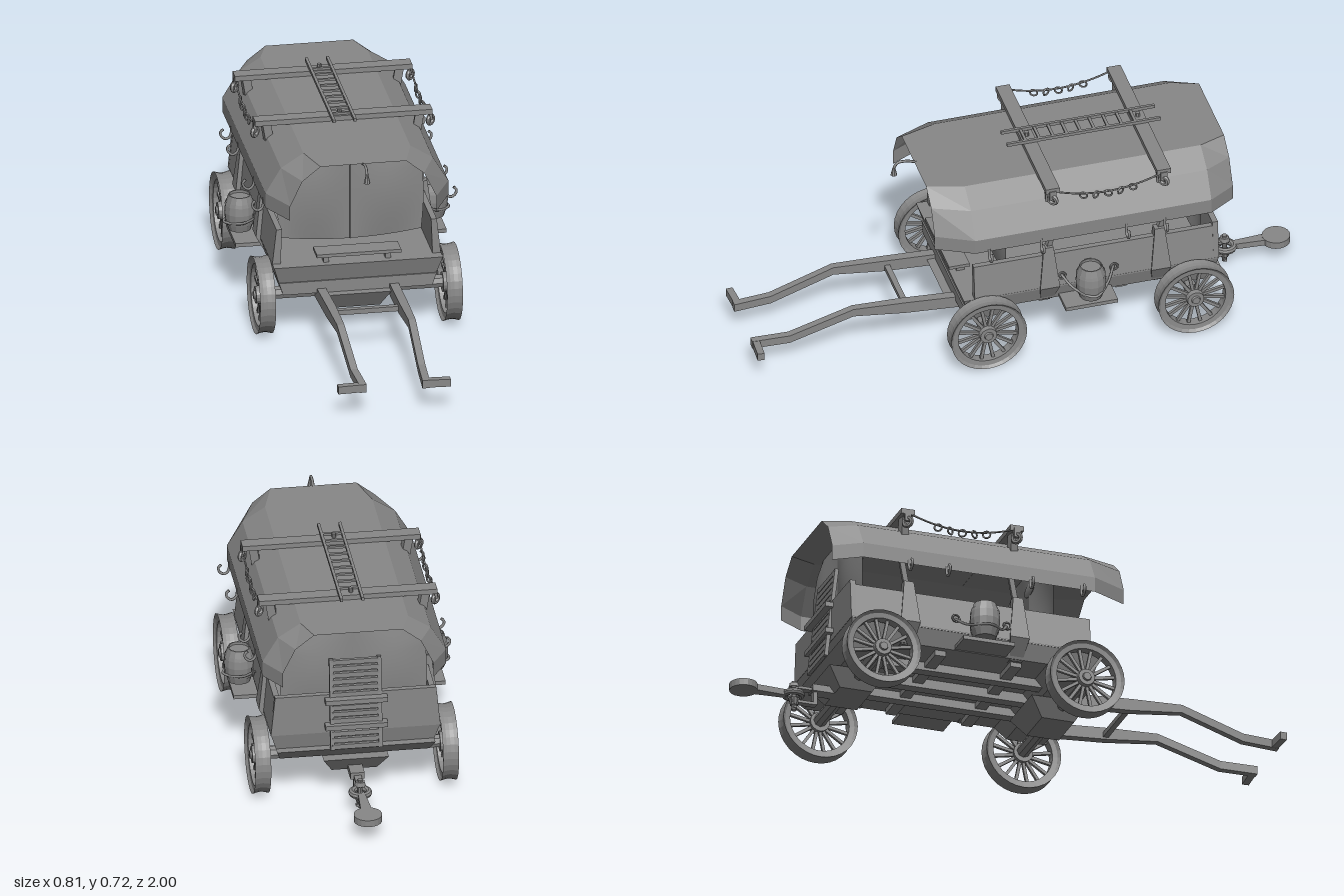
import * as THREE from 'three';

const flat = new THREE.MeshStandardMaterial({ color: 0x888888, flatShading: true, side: THREE.DoubleSide });
const smooth = new THREE.MeshStandardMaterial({ color: 0x888888, side: THREE.DoubleSide });
const V = (x, y, z) => new THREE.Vector3(x, y, z);

export function createModel() {
  const root = new THREE.Group();

  const add = (name, geo, x = 0, y = 0, z = 0, parent = root, mat = flat) => {
    const m = new THREE.Mesh(geo, mat);
    m.name = name;
    m.position.set(x, y, z);
    parent.add(m);
    return m;
  };
  const group = (name, x = 0, y = 0, z = 0) => {
    const g = new THREE.Group();
    g.name = name;
    g.position.set(x, y, z);
    root.add(g);
    return g;
  };
  // Box given by its ranges on each axis
  const block = (name, x0, x1, y0, y1, z0, z1, parent) =>
    add(name, new THREE.BoxGeometry(x1 - x0, y1 - y0, z1 - z0), (x0 + x1) / 2, (y0 + y1) / 2, (z0 + z1) / 2, parent);
  // Straight bar between two points
  const bar = (name, a, b, w, h, parent) => {
    const m = add(name, new THREE.BoxGeometry(w, h, a.distanceTo(b)), 0, 0, 0, parent);
    m.position.copy(a).add(b).multiplyScalar(0.5);
    m.quaternion.setFromUnitVectors(V(0, 0, 1), b.clone().sub(a).normalize());
    return m;
  };
  // Skin over equal-length cross-sections
  const loft = (sections, closed = true) => {
    const n = sections[0].length, pos = [], idx = [];
    sections.forEach(s => s.forEach(p => pos.push(p.x, p.y, p.z)));
    for (let i = 0; i < sections.length - 1; i++)
      for (let j = 0; j < (closed ? n : n - 1); j++) {
        const a = i * n + j, b = i * n + (j + 1) % n;
        idx.push(a, b, b + n, a, b + n, a + n);
      }
    if (closed) {
      const e = (sections.length - 1) * n;
      for (let j = 1; j < n - 1; j++) idx.push(0, j + 1, j, e, e + j, e + j + 1);
    }
    const g = new THREE.BufferGeometry();
    g.setAttribute('position', new THREE.Float32BufferAttribute(pos, 3));
    g.setIndex(idx);
    g.computeVertexNormals();
    return g;
  };
  const rectY = (hx, y, z0, z1) => [V(-hx, y, z1), V(hx, y, z1), V(hx, y, z0), V(-hx, y, z0)];

  // Body: flared hull with lower blocks and keels above each axle
  add('hull', loft([rectY(0.28, 0.2, -0.64, 0.255), rectY(0.3, 0.265, -0.655, 0.275)]));
  for (const [n, z] of [['front', 0.19], ['rear', -0.56]]) {
    add(n + 'UnderBlock', loft([rectY(0.265, 0.155, z - 0.07, z + 0.07), rectY(0.28, 0.2, z - 0.11, z + 0.07)]));
    add(n + 'Keel', loft([rectY(0.08, 0.09, z - 0.06, z + 0.06), rectY(0.115, 0.155, z - 0.11, z + 0.1)]));
    const axle = add(n + 'Axle', new THREE.CylinderGeometry(0.024, 0.024, 0.64, 8), 0, 0.142, n === 'front' ? 0.2 : -0.555);
    axle.rotation.z = Math.PI / 2;
  }
  for (const s of [-1, 1]) {
    block('chassisBeam', s * 0.13 - 0.02, s * 0.13 + 0.02, 0.17, 0.2, -0.6, 0.24);
    add('sideWall', loft([0.235, -0.65].map(z =>
      [V(s * 0.3, 0.26, z), V(s * 0.285, 0.395, z), V(s * 0.265, 0.395, z), V(s * 0.27, 0.26, z)])));
  }
  block('centreBeam', -0.02, 0.02, 0.165, 0.2, -0.5, 0.15);
  for (const z of [-0.03, -0.31]) block('crossBeam', -0.26, 0.26, 0.18, 0.205, z - 0.02, z + 0.02);
  add('backWall', loft([-0.635, -0.655].map(z =>
    [V(-0.3, 0.26, z), V(0.3, 0.26, z), V(0.285, 0.41, z), V(-0.285, 0.41, z)])));
  block('seat', -0.15, 0.15, 0.298, 0.31, 0.21, 0.285);
  for (const x of [-0.11, 0.11]) block('seatLeg', x - 0.01, x + 0.01, 0.26, 0.3, 0.22, 0.25);

  // Canopy: faceted arch narrowing at both ends
  const arch = [[-0.325, 0.485], [-0.325, 0.54], [-0.27, 0.632], [-0.19, 0.683], [0.19, 0.683], [0.27, 0.632], [0.325, 0.54], [0.325, 0.485]];
  const ends = [[0.37, 0.8], [0.24, 1], [-0.62, 1], [-0.715, 0.82]];
  add('canopy', loft(ends.map(([z, k]) => arch.map(([x, y]) => V(x * k, y, z))), false));

  // Cloth curtains: two bulging halves meeting at a slit, cut to the arch
  const clothWidth = y => y < 0.56 ? 0.252 + 0.008 * Math.sin((y - 0.29) * 11)
    : y < 0.64 ? 0.256 - (y - 0.56) * 0.5 : 0.216 - (y - 0.64) * 1.6;
  for (const [n, z0, dir] of [['frontCurtain', 0.11, 1], ['backCurtain', -0.6, -1]])
    for (const s of [-1, 1]) {
      const geo = new THREE.PlaneGeometry(1, 1, 10, 20), p = geo.attributes.position;
      for (let i = 0; i < p.count; i++) {
        const u = p.getX(i) + 0.5, v = p.getY(i) + 0.5, y = 0.29 + v * 0.392;
        p.setXYZ(i, s * u * clothWidth(y), y + 0.02 * u * u * (1 - v), z0 + dir * 0.02 * Math.sin(u * Math.PI) * Math.sin(v * Math.PI));
      }
      geo.computeVertexNormals();
      add(n, geo, 0, 0, 0, root, smooth);
    }
  const slit = add('curtainSlit', new THREE.CylinderGeometry(0.003, 0.003, 0.3, 6), 0, 0.44, 0.112);
  slit.scale.z = 0.6;
  const patch = add('curtainPatch', new THREE.SphereGeometry(1, 20, 8), 0, 0.615, 0.112, root, smooth);
  patch.scale.set(0.05, 0.025, 0.006);

  // Roof bars, struts, side brackets, pulley rings
  for (const z of [-0.045, -0.45]) {
    block('roofBar', -0.315, 0.315, 0.682, 0.701, z - 0.025, z + 0.025);
    for (const s of [-1, 1]) {
      bar('roofStrut', V(s * 0.275, 0.69, z), V(s * 0.26, 0.6, z), 0.03, 0.028);
      bar('canopyStrut', V(s * 0.262, 0.3, z + 0.035), V(s * 0.29, 0.56, z - 0.025), 0.018, 0.018);
      const rib = [[0.24, 0.2], [0.275, 0.195], [0.316, 0.27], [0.296, 0.432], [0.268, 0.432], [0.245, 0.27]];
      add('sideBracket', loft([-1, 1].map(e => rib.map(([x, y], i) =>
        V(s * x, y, z + 0.01 + e * [0.022, 0.022, 0.036, 0.018, 0.018, 0.03][i])))));
      const ring = add('pulleyRing', new THREE.TorusGeometry(0.015, 0.008, 6, 14), s * 0.312, 0.652, z);
      ring.rotation.y = 0.8;
      block('pulleyStrap', s * 0.312 - 0.006, s * 0.312 + 0.006, 0.655, 0.69, z - 0.012, z + 0.012);
    }
  }
  // Cords sagging between the bars, strung with a few rings
  for (const s of [-1, 1]) {
    const cord = new THREE.QuadraticBezierCurve3(V(s * 0.312, 0.683, -0.06), V(s * 0.312, 0.613, -0.248), V(s * 0.312, 0.683, -0.435));
    add('cord', new THREE.TubeGeometry(cord, 20, 0.0035, 5), 0, 0, 0, root, smooth);
    for (let i = 0; i < 5; i++) {
      const p = cord.getPoint(0.26 + i * 0.12);
      const ring = add('cordRing', new THREE.TorusGeometry(0.013, 0.0035, 5, 12), p.x, p.y - 0.008, p.z);
      ring.rotation.y = Math.PI / 2 + (i % 2 ? 0.5 : -0.4);
    }
  }
  // Roof ladder
  for (const x of [-0.045, 0.03]) block('roofLadderRail', x - 0.005, x + 0.005, 0.701, 0.713, -0.52, 0.04);
  for (let i = 0; i < 9; i++) block('roofLadderRung', -0.045, 0.03, 0.703, 0.711, -0.435 + i * 0.05, -0.425 + i * 0.05);
  for (const z of [-0.045, -0.45]) add('ladderKnob', new THREE.CylinderGeometry(0.008, 0.008, 0.02, 8), -0.012, 0.707, z);

  // Hooks under the canopy edge
  for (const s of [-1, 1])
    for (const z of [0.19, 0, -0.31, -0.45]) {
      const path = new THREE.CatmullRomCurve3([[0.322, 0.5], [0.328, 0.465], [0.343, 0.455], [0.36, 0.467], [0.362, 0.483], [0.352, 0.492]].map(([x, y]) => V(s * x, y, z)));
      add('canopyHook', new THREE.TubeGeometry(path, 14, 0.005, 6), 0, 0, 0, root, smooth);
    }

  // Lantern on a curved arm
  const arm = new THREE.CatmullRomCurve3([V(0, 0.675, 0.35), V(0, 0.69, 0.4), V(0, 0.688, 0.43), V(0, 0.67, 0.443)]);
  add('lanternArm', new THREE.TubeGeometry(arm, 14, 0.005, 6), 0, 0, 0, root, smooth);
  add('lantern', new THREE.CylinderGeometry(0.005, 0.012, 0.03, 8), 0, 0.655, 0.443);

  // Wheels
  const rim = [[0.11, -0.018], [0.128, -0.02], [0.138, -0.028], [0.134, -0.014], [0.132, 0], [0.134, 0.014], [0.138, 0.028], [0.128, 0.02], [0.11, 0.018], [0.11, -0.018]].map(([r, h]) => new THREE.Vector2(r, h));
  for (const s of [-1, 1])
    for (const z of [0.2, -0.555]) {
      const w = group('wheel', s * 0.332, 0.138, z);
      w.rotation.z = -s * Math.PI / 2;
      add('rim', new THREE.LatheGeometry(rim, 32), 0, 0, 0, w);
      add('hub', new THREE.CylinderGeometry(0.03, 0.036, 0.045, 16), 0, 0, 0, w);
      add('hubCap', new THREE.CylinderGeometry(0.014, 0.018, 0.01, 12), 0, 0.024, 0, w);
      for (let i = 0; i < 16; i++) {
        const a = (i + 0.5) * Math.PI / 8;
        bar('spoke', V(Math.cos(a) * 0.025, 0, Math.sin(a) * 0.025), V(Math.cos(a) * 0.113, 0, Math.sin(a) * 0.113), 0.011, 0.011, w);
      }
    }

  // Barrels on side platforms, tied with rope
  const stave = [[0, -0.065], [0.04, -0.065], [0.051, -0.03], [0.054, 0], [0.051, 0.03], [0.04, 0.065], [0.036, 0.065], [0.036, 0.055], [0, 0.055]].map(([r, y]) => new THREE.Vector2(r, y));
  for (const s of [-1, 1]) {
    const b = group('barrel', s * 0.343, 0.297, -0.175);
    add('barrelBody', new THREE.LatheGeometry(stave, 14), 0, 0, 0, b);
    for (const y of [-0.035, 0.035]) add('hoop', new THREE.CylinderGeometry(y > 0 ? 0.05 : 0.053, y > 0 ? 0.053 : 0.05, 0.012, 14, 1, true), 0, y, 0, b);
    const rope = [V(s * 0.3, 0.31, -0.08), V(s * 0.345, 0.275, -0.113), V(s * 0.4, 0.263, -0.175), V(s * 0.345, 0.275, -0.237), V(s * 0.3, 0.31, -0.27)];
    add('rope', new THREE.TubeGeometry(new THREE.CatmullRomCurve3(rope), 24, 0.005, 6), 0, 0, 0, root, smooth);
    for (const z of [-0.08, -0.27]) {
      const r = add('ropeRing', new THREE.TorusGeometry(0.013, 0.004, 6, 12), s * 0.308, 0.31, z);
      r.rotation.y = Math.PI / 2;
    }
    block('barrelPlatform', Math.min(s * 0.24, s * 0.375), Math.max(s * 0.24, s * 0.375), 0.203, 0.217, -0.265, -0.075);
  }

  // Draught shafts with outward handles
  const line = [[0.13, 0.145, 0.2], [0.127, 0.16, 0.44], [0.127, 0.175, 0.63], [0.12, 0.103, 0.86], [0.112, 0.1, 0.995]];
  for (const s of [-1, 1]) {
    add('shaft', loft(line.map(([x, y, z], i) => {
      const w = i < 2 ? 0.016 : 0.013, h = i < 2 ? 0.022 : 0.015;
      return [V(s * x - w, y - h, z), V(s * x + w, y - h, z), V(s * x + w, y + h, z), V(s * x - w, y + h, z)];
    })));
    bar('shaftHandle', V(s * 0.11, 0.1, 0.98), V(s * 0.2, 0.1, 0.985), 0.025, 0.028);
  }
  block('shaftCrossbar', -0.12, 0.12, 0.145, 0.163, 0.425, 0.445);

  // Slatted ladder and steps at the back
  const rear = group('rearLadder');
  const top = V(0, 0.54, -0.635), foot = V(0, 0.2, -0.675);
  for (const x of [-0.085, 0.085]) bar('ladderRail', V(x, top.y, top.z), V(x, foot.y, foot.z), 0.014, 0.014, rear);
  for (let i = 0; i < 14; i++) {
    const p = foot.clone().lerp(top, (i + 0.5) / 14);
    block('ladderSlat', -0.085, 0.085, p.y - 0.009, p.y + 0.009, p.z - 0.007, p.z + 0.005, rear);
  }
  for (const y of [0.29, 0.39]) block('ladderBrace', -0.11, 0.11, y - 0.009, y + 0.009, -0.685, -0.65, rear);

  // Rear hitch
  const hitch = group('hitch');
  block('hitchMount', -0.025, 0.025, 0.09, 0.115, -0.7, -0.6, hitch);
  block('hitchPlate', -0.013, 0.013, 0.042, 0.105, -0.695, -0.68, hitch);
  for (const y of [0.046, 0.1]) block('hitchFork', -0.013, 0.013, y - 0.005, y + 0.005, -0.775, -0.685, hitch);
  add('hitchPin', new THREE.CylinderGeometry(0.009, 0.009, 0.11, 8), 0, 0.068, -0.762, hitch);
  add('pinCollar', new THREE.CylinderGeometry(0.02, 0.014, 0.025, 10), 0, 0.045, -0.762, hitch);
  add('pinHead', new THREE.CylinderGeometry(0.016, 0.02, 0.015, 10), 0, 0.108, -0.762, hitch);
  block('pinCotter', -0.015, 0.015, 0.018, 0.026, -0.767, -0.757, hitch);
  const eye = add('hitchEye', new THREE.TorusGeometry(0.03, 0.012, 8, 16), 0, 0.073, -0.765, hitch);
  eye.rotation.x = Math.PI / 2;
  add('hitchArm', loft([[-0.79, 0.012], [-0.92, 0.02]].map(([z, w]) =>
    [V(-w, 0.062, z), V(w, 0.062, z), V(w, 0.084, z), V(-w, 0.084, z)])), 0, 0, 0, hitch);
  add('hitchDisc', new THREE.CylinderGeometry(0.05, 0.05, 0.025, 20), 0, 0.073, -0.95, hitch);

  return root;
}
